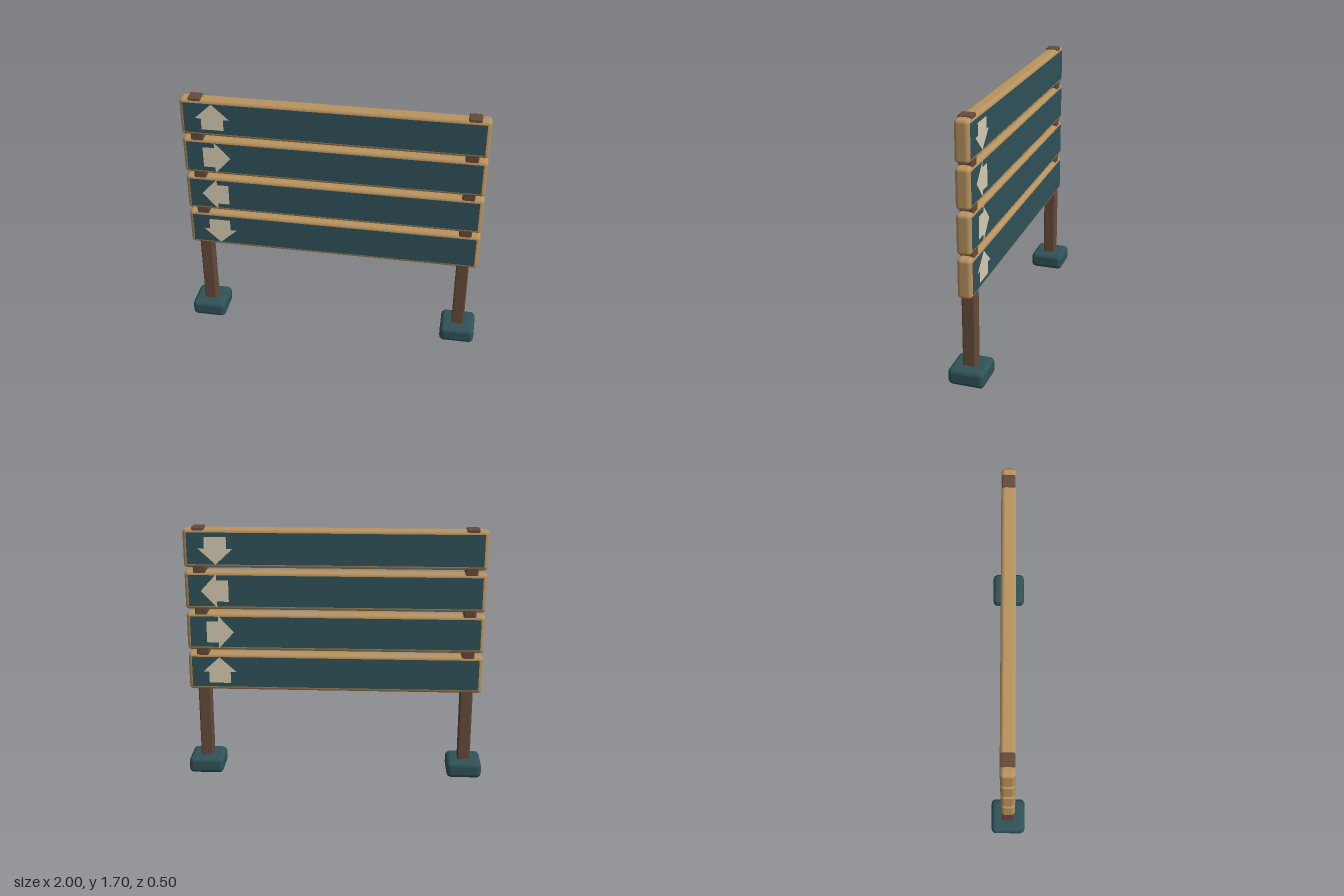
import * as THREE from 'three';

const material = (name, color) => {
  const m = new THREE.MeshStandardMaterial({ color });
  m.name = name;
  return m;
};

// Box with flat faces and smooth rounded edges of radius r
function softBox(w, h, d, r) {
  const geo = new THREE.BoxGeometry(2, 2, 2, 5, 5, 5);
  const pos = geo.attributes.position, nor = geo.attributes.normal;
  const core = new THREE.Vector3(w / 2 - r, h / 2 - r, d / 2 - r);
  const bend = (v) => Math.sign(v) * Math.tan((Math.PI / 4) * Math.max(0, Math.abs(v) - 0.2) / 0.8);
  const p = new THREE.Vector3(), dir = new THREE.Vector3();
  for (let i = 0; i < pos.count; i++) {
    p.fromBufferAttribute(pos, i);
    dir.set(bend(p.x), bend(p.y), bend(p.z)).normalize();
    nor.setXYZ(i, dir.x, dir.y, dir.z);
    pos.setXYZ(i,
      Math.sign(p.x) * core.x + dir.x * r,
      Math.sign(p.y) * core.y + dir.y * r,
      Math.sign(p.z) * core.z + dir.z * r);
  }
  return geo;
}

// Upward arrow, centred on its turning point
function arrowGeometry() {
  const points = [[0, 0.104], [-0.113, 0], [-0.072, 0], [-0.072, -0.077],
    [0.072, -0.077], [0.072, 0], [0.113, 0]];
  return new THREE.ShapeGeometry(new THREE.Shape(points.map(([x, y]) => new THREE.Vector2(x, y))));
}

export function createModel() {
  const model = new THREE.Group();
  model.name = 'signpost';

  const teal = material('teal paint', 0x2f5259);
  const tan = material('light wood', 0xb8935f);
  const brown = material('dark wood', 0x654b3a);
  const cream = material('cream paint', 0xd6ccb2);

  const add = (parent, name, geo, mat, x = 0, y = 0, z = 0) => {
    const mesh = new THREE.Mesh(geo, mat);
    mesh.name = name;
    mesh.position.set(x, y, z);
    parent.add(mesh);
    return mesh;
  };

  // Posts and feet
  const postGeo = softBox(0.084, 1.66, 0.084, 0.01);
  const footGeo = softBox(0.234, 0.112, 0.234, 0.032);
  for (const side of [-1, 1]) {
    const name = side > 0 ? 'left' : 'right';
    add(model, name + 'Post', postGeo, brown, side * 0.88, 0.869, 0);
    add(model, name + 'Foot', footGeo, teal, side * 0.88, 0.056, 0);
  }

  // Four boards, painted on both faces
  const depth = 0.092;
  const boardGeo = softBox(1.96, 0.258, depth, 0.025);
  const panelGeo = new THREE.PlaneGeometry(1.91, 0.208);
  const arrowGeo = arrowGeometry();
  const turns = [0, -Math.PI / 2, Math.PI / 2, Math.PI]; // up, right, left, down
  turns.forEach((turn, i) => {
    const board = new THREE.Group();
    board.name = 'board' + (i + 1);
    board.position.y = 1.56 - i * 0.28;
    add(board, 'plank', boardGeo, tan);
    for (const back of [0, 1]) {
      const face = new THREE.Group();
      face.name = back ? 'backFace' : 'frontFace';
      face.rotation.y = back * Math.PI;
      add(face, 'panel', panelGeo, teal, 0, 0, depth / 2 + 0.001);
      const arrow = add(face, 'arrow', arrowGeo, cream, -0.769, 0, depth / 2 + 0.004);
      arrow.rotation.z = turn + back * Math.PI;
      board.add(face);
    }
    model.add(board);
  });

  // The whole sign stands at a slight angle
  model.rotation.y = -0.141;
  const root = new THREE.Group();
  root.name = 'directionSign';
  root.add(model);
  return root;
}
